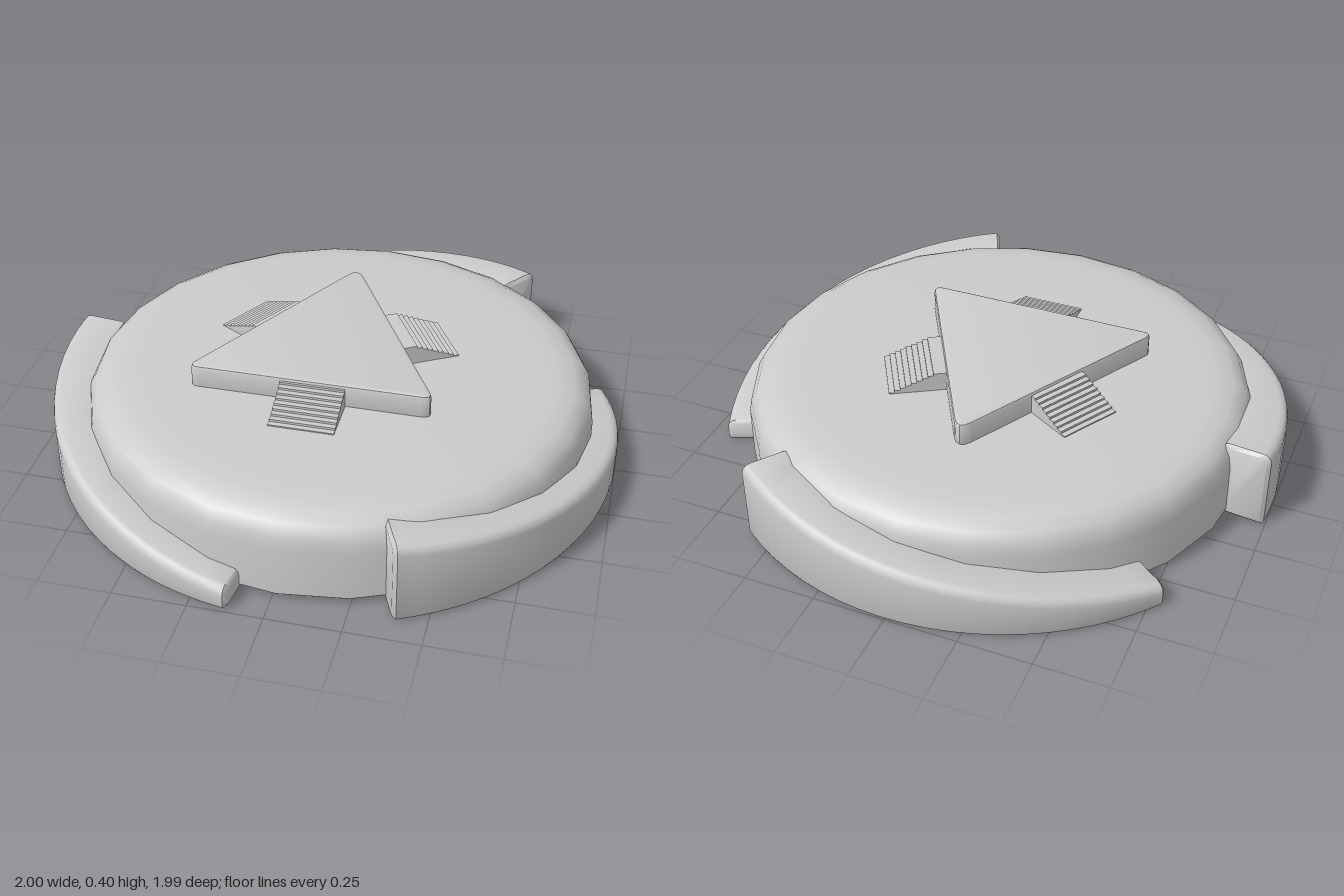
import * as THREE from 'three';
import { toCreasedNormals } from 'three/addons/utils/BufferGeometryUtils.js';

const material = new THREE.MeshStandardMaterial({ color: 0xcccccc });

function part(name, geometry) {
  const mesh = new THREE.Mesh(geometry, material);
  mesh.name = name;
  return mesh;
}

// Curved wedge: a rounded cross-section swept a quarter turn while it loses height
function rampGeometry(startAngle) {
  const steps = 20, span = Math.PI / 2, bevel = 0.012;
  const section = (h, inset) => {
    const a = 0.835 + inset, b = 1 - inset, lo = inset, hi = h - inset;
    const f = 0.03, g = 0.012;
    return [
      [a, lo], [b - g, lo], [b - g * 0.3, lo + g * 0.3], [b, lo + g],
      [b, hi - f], [b - f * 0.12, hi - f * 0.5], [b - f * 0.5, hi - f * 0.12], [b - f, hi],
      [a + g, hi], [a + g * 0.3, hi - g * 0.3], [a, hi - g],
    ];
  };
  // Extra inset rings at both ends soften the end edges
  const rings = [[0, bevel]];
  for (let i = 0; i <= steps; i++) {
    rings.push([bevel + (span - 2 * bevel) * i / steps, 0]);
  }
  rings.push([span, bevel]);

  const pos = [], index = [], n = section(1, 0).length;
  rings.forEach(([turn, inset]) => {
    const h = 0.292 - 0.212 * Math.pow(turn / span, 1.15);
    const phi = startAngle - turn;
    for (const [r, y] of section(h, inset)) pos.push(r * Math.cos(phi), y, r * Math.sin(phi));
  });
  for (let i = 0; i < rings.length - 1; i++) {
    for (let j = 0; j < n; j++) {
      const k = (j + 1) % n;
      const a = i * n + j, b = i * n + k, c = b + n, d = a + n;
      index.push(a, d, b, b, d, c);
    }
  }
  const last = (rings.length - 1) * n;
  for (let j = 1; j < n - 1; j++) {
    index.push(0, j, j + 1, last, last + j + 1, last + j);
  }
  const geo = new THREE.BufferGeometry();
  geo.setAttribute('position', new THREE.Float32BufferAttribute(pos, 3));
  geo.setIndex(index);
  return toCreasedNormals(geo, 0.75);
}

// Staircase profile extruded sideways, descending outward along +z
function ribbedGripGeometry() {
  const count = 9, z0 = 0.26, z1 = 0.435, top = 0.39, low = 0.325, width = 0.225;
  const shape = new THREE.Shape();
  shape.moveTo(0.2, 0.3);
  shape.lineTo(0.2, top);
  for (let i = 0; i < count; i++) {
    const z = z0 + (z1 - z0) * (i + 1) / count;
    shape.lineTo(z, top - (top - low) * i / (count - 1));
    shape.lineTo(z, i < count - 1 ? top - (top - low) * (i + 1) / (count - 1) : 0.3);
  }
  const geo = new THREE.ExtrudeGeometry(shape, { depth: width, bevelEnabled: false });
  geo.translate(0, 0, -width / 2);
  geo.rotateY(-Math.PI / 2);
  return geo;
}

// Triangle plate with small rounded corners and a soft rim
function triangleGeometry() {
  const corners = [[-0.455, -0.275], [0.385, -0.275], [-0.035, 0.485]]
    .map(([x, y]) => new THREE.Vector2(x, y));
  const shape = new THREE.Shape();
  corners.forEach((c, i) => {
    const prev = corners[(i + 2) % 3], next = corners[(i + 1) % 3];
    const toward = (p) => c.clone().add(p.clone().sub(c).setLength(i === 2 ? 0.055 : 0.035));
    const p = toward(prev), q = toward(next);
    if (i === 0) shape.moveTo(p.x, p.y); else shape.lineTo(p.x, p.y);
    shape.quadraticCurveTo(c.x, c.y, q.x, q.y);
  });
  shape.closePath();
  const geo = new THREE.ExtrudeGeometry(shape, {
    depth: 0.09, curveSegments: 4,
    bevelSize: 0.012, bevelThickness: 0.012, bevelOffset: -0.006, bevelSegments: 2,
  });
  geo.rotateX(-Math.PI / 2);
  geo.translate(0, 0.3, 0);
  return toCreasedNormals(geo, 0.7);
}

export function createModel() {
  const model = new THREE.Group();
  model.name = 'spinningDisc';

  // Round body with a softly domed shoulder
  const profile = [
    [0, 0.015], [0.885, 0.015], [0.892, 0.022], [0.89, 0.2], [0.882, 0.245],
    [0.86, 0.283], [0.82, 0.305], [0.76, 0.317], [0.68, 0.32], [0, 0.322],
  ].map(([r, y]) => new THREE.Vector2(r, y));
  const body = part('body', toCreasedNormals(new THREE.LatheGeometry(profile, 24), 0.75));
  body.position.set(0.015, 0, 0.013);
  model.add(body);

  // Three blades around the rim
  for (let i = 0; i < 3; i++) {
    const angle = THREE.MathUtils.degToRad(187 - 120 * i);
    model.add(part('rimBlade' + (i + 1), rampGeometry(angle)));
  }

  // Raised triangle and its three ribbed grips
  model.add(part('trianglePlate', triangleGeometry()));
  const gripGeo = ribbedGripGeometry();
  for (let i = 0; i < 3; i++) {
    const grip = part('ribbedGrip' + (i + 1), gripGeo);
    grip.position.set(-0.02, 0, 0.01);
    grip.rotation.y = i * Math.PI * 2 / 3;
    model.add(grip);
  }
  return model;
}
